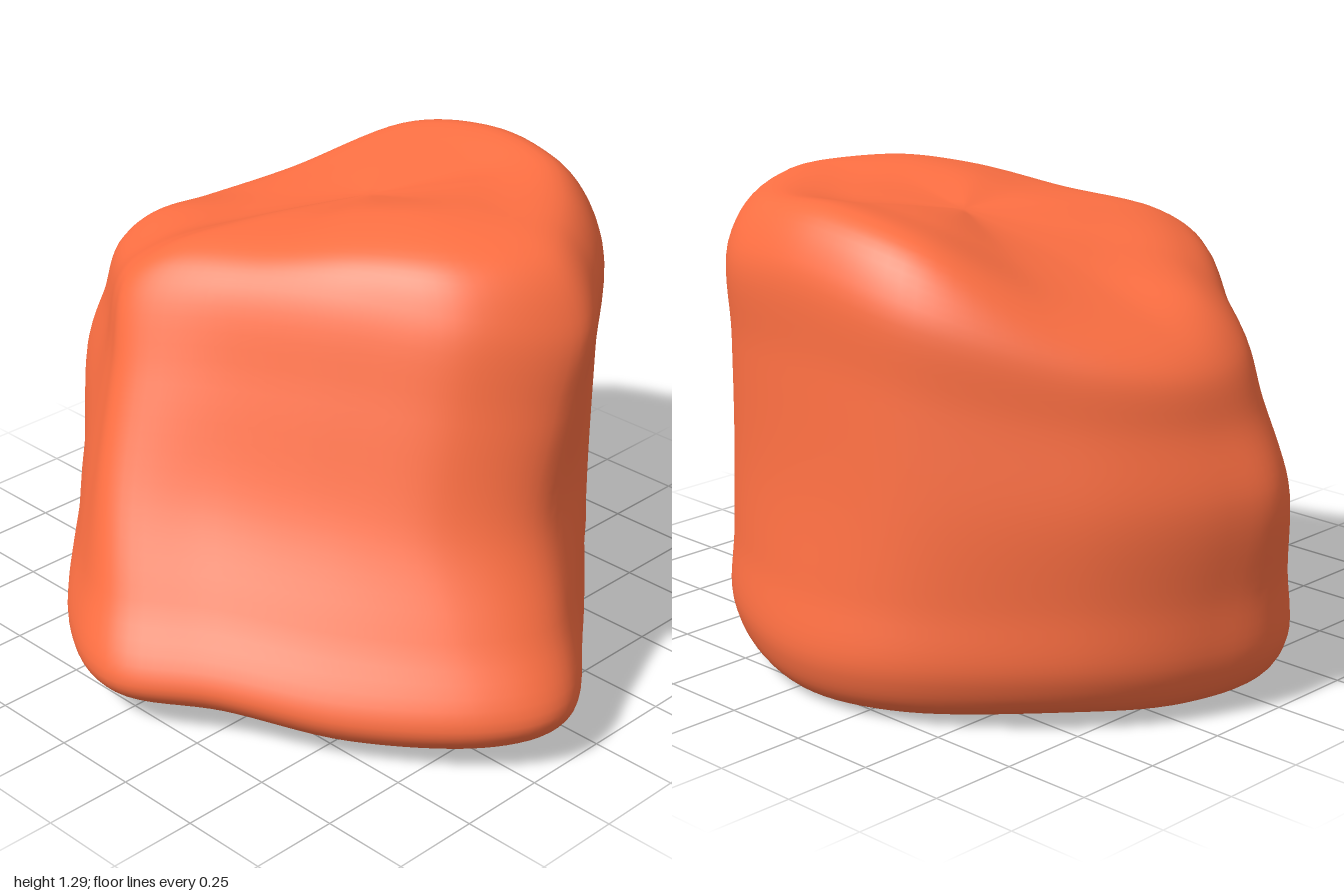
import * as THREE from 'three';

// One entry per upright column around the rock, from the front corner towards +x:
// foot [x, z], waist [x, z], shoulder [x, y, z], height of rim, height of inner top
const columns = [
  { foot: [0.02, 0.86], waist: [-0.15, 0.67], shoulder: [-0.27, 1.06, 0.45], rim: 1.15, top: 1.19 },
  { foot: [0.3, 0.72], waist: [0.1, 0.53], shoulder: [0.0, 1.1, 0.35], rim: 1.18, top: 1.21 },
  { foot: [0.62, 0.55], waist: [0.38, 0.4], shoulder: [0.3, 1.12, 0.23], rim: 1.22, top: 1.25 },
  { foot: [0.91, 0.32], waist: [0.65, 0.24], shoulder: [0.58, 1.1, 0.08], rim: 1.23, top: 1.27 },
  { foot: [0.99, 0.1], waist: [0.78, 0.0], shoulder: [0.73, 1.06, -0.18], rim: 1.22, top: 1.27 },
  { foot: [0.8, -0.16], waist: [0.68, -0.28], shoulder: [0.62, 1.1, -0.38], rim: 1.24, top: 1.26 },
  { foot: [0.54, -0.47], waist: [0.5, -0.52], shoulder: [0.46, 1.12, -0.58], rim: 1.25, top: 1.25 },
  { foot: [0.3, -0.74], waist: [0.28, -0.73], shoulder: [0.25, 1.12, -0.74], rim: 1.26, top: 1.24 },
  { foot: [-0.05, -0.86], waist: [-0.05, -0.81], shoulder: [-0.05, 1.14, -0.78], rim: 1.27, top: 1.25 },
  { foot: [-0.4, -0.8], waist: [-0.42, -0.76], shoulder: [-0.4, 1.07, -0.72], rim: 1.21, top: 1.22 },
  { foot: [-0.75, -0.52], waist: [-0.77, -0.5], shoulder: [-0.7, 0.95, -0.47], rim: 1.06, top: 1.14 },
  { foot: [-0.92, -0.22], waist: [-0.96, -0.18], shoulder: [-0.85, 0.9, -0.2], rim: 1.0, top: 1.1 },
  { foot: [-0.95, 0.08], waist: [-0.96, 0.06], shoulder: [-0.8, 0.92, 0.06], rim: 1.03, top: 1.1 },
  { foot: [-0.62, 0.42], waist: [-0.62, 0.36], shoulder: [-0.55, 0.98, 0.28], rim: 1.07, top: 1.13 },
  { foot: [-0.28, 0.74], waist: [-0.33, 0.59], shoulder: [-0.39, 1.04, 0.41], rim: 1.12, top: 1.17 },
];
const AROUND = 120, ALONG = 72;
const topCentre = new THREE.Vector3(-0.05, 1.2, -0.2);
const baseCentre = new THREE.Vector3(0, 0.04, 0);

// Move a ring point towards a centre, at a given height
const inset = (p, centre, scale, y) => {
  const q = p.clone().sub(centre).multiplyScalar(scale).add(centre);
  return q.setY(y);
};

// Control points from the middle of the underside, up the side, to the middle of the top
function controlColumn({ foot, waist, shoulder, rim, top }, i) {
  const wave = 0.012 * Math.sin(i * 2.1);
  const f = new THREE.Vector3(foot[0], 0.13 + wave, foot[1]);
  const w = new THREE.Vector3(waist[0], 0.57, waist[1]);
  const s = new THREE.Vector3(...shoulder);
  const under = 0.035 + 0.025 * f.z + wave;
  return [
    baseCentre,
    inset(f, baseCentre, 0.5, 0.03),
    inset(f, baseCentre, 0.92, under),
    f,
    f.clone().lerp(w, 0.45),
    w,
    w.clone().lerp(s, 0.55),
    s,
    inset(s, topCentre, 0.84, rim),
    inset(s, topCentre, 0.48, top),
    topCentre,
  ];
}

function rockGeometry() {
  const control = columns.map(controlColumn);
  // Smooth closed curve through each level
  const rings = control[0].map((_, level) =>
    new THREE.CatmullRomCurve3(control.map((c) => c[level].clone()), true, 'catmullrom', 0.5));
  const positions = [], indices = [];
  for (let i = 0; i < AROUND; i++) {
    // Smooth curve up each column
    const side = new THREE.CatmullRomCurve3(rings.map((r) => r.getPoint(i / AROUND)));
    for (let j = 1; j < ALONG; j++) positions.push(...side.getPoint(j / ALONG).toArray());
  }
  const rows = ALONG - 1, bottom = AROUND * rows, crown = bottom + 1;
  positions.push(...baseCentre.toArray(), ...topCentre.toArray());
  for (let i = 0; i < AROUND; i++) {
    const a = i * rows, b = ((i + 1) % AROUND) * rows;
    for (let j = 0; j < rows - 1; j++) {
      indices.push(a + j, b + j, b + j + 1, a + j, b + j + 1, a + j + 1);
    }
    indices.push(bottom, b, a, crown, a + rows - 1, b + rows - 1);
  }
  const geometry = new THREE.BufferGeometry();
  geometry.setAttribute('position', new THREE.Float32BufferAttribute(positions, 3));
  geometry.setIndex(indices);
  // Stand the rock on the ground
  geometry.computeBoundingBox();
  geometry.translate(0, -geometry.boundingBox.min.y, 0);
  geometry.computeVertexNormals();
  return geometry;
}

export function createModel() {
  const group = new THREE.Group();
  group.name = 'boulder';
  const rock = new THREE.Mesh(rockGeometry(), new THREE.MeshStandardMaterial({ color: 0xff7043 }));
  rock.name = 'rock';
  group.add(rock);
  return group;
}
